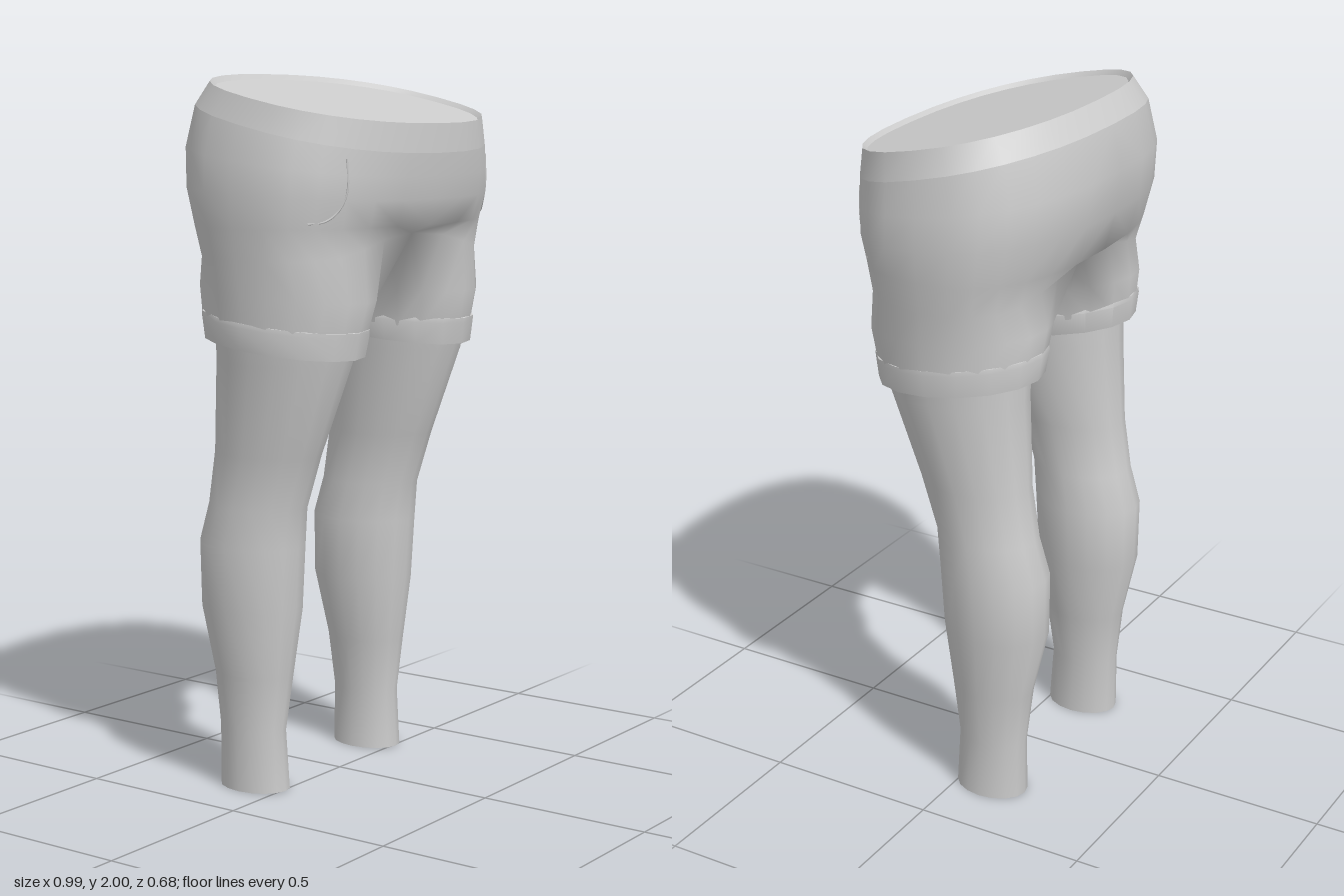
import * as THREE from 'three';
import { mergeGeometries, mergeVertices, toCreasedNormals } from 'three/addons/utils/BufferGeometryUtils.js';

const material = new THREE.MeshStandardMaterial({ color: 0xcccccc });
const HALF = 14;   // segments around one half of the hips
const INNER = 6;   // segments along the inner thigh
const range = (n, f) => Array.from({ length: n }, (_, i) => f(i));
const spow = (v, e) => Math.sign(v) * Math.abs(v) ** e;

// Joins rings (bottom to top, each counterclockwise from above) into a surface.
// The spans may be shorter than a full turn; side -1 mirrors it across x = 0.
function loft(rings, side = 1, spans = []) {
  const n = rings[0].length, pos = [], index = [];
  rings.forEach(r => r.forEach(p => pos.push(p[0] * side, p[1], p[2])));
  for (let i = 0; i < rings.length - 1; i++) {
    for (let j = 0; j < (spans[i] ?? n); j++) {
      const k = (j + 1) % n;
      const a = i * n + j, b = i * n + k, c = b + n, d = a + n;
      if (side > 0) index.push(a, b, c, a, c, d);
      else index.push(a, c, b, a, d, c);
    }
  }
  const g = new THREE.BufferGeometry();
  g.setAttribute('position', new THREE.Float32BufferAttribute(pos, 3));
  g.setIndex(index);
  return g;
}

// Ellipse given by its x and z limits, tilted along z
function ellipse([y, x0, x1, z0, z1], slope, angles) {
  const cx = (x0 + x1) / 2, cz = (z0 + z1) / 2;
  return angles.map(t => {
    const z = cz + (z1 - z0) / 2 * Math.cos(t);
    return [cx + (x1 - x0) / 2 * Math.sin(t), y + slope * z, z];
  });
}

// Rounded hip outline: height, tilt, half width, front, back, widest z, roundness
function hip([y, slope, w, zf, zb, zc, e], t) {
  const c = spow(Math.cos(t), e);
  const z = zc + c * (c > 0 ? zf - zc : zc - zb);
  return [w * spow(Math.sin(t), e), y + slope * z, z];
}

const SEAM = [1.866, -0.238, 0.475, 0.34, -0.31, 0.01, 0.84];
const RIM = [1.94, -0.225, 0.455, 0.335, -0.265, 0.03, 0.85];
const HIPS = [
  [1.59, 0, 0.487, 0.305, -0.29, 0, 0.8],
  [1.68, -0.06, 0.495, 0.325, -0.322, 0, 0.8],
  [1.77, -0.14, 0.49, 0.335, -0.335, 0, 0.82],
  SEAM,
];

function shortsHalf(side) {
  // Leg angles: a wide outer arc, then the inner thigh
  const gap = 0.7, N = HALF + INNER;
  const angles = range(N, j => j <= HALF
    ? -gap + (Math.PI + 2 * gap) * j / HALF
    : Math.PI + gap + (Math.PI - 2 * gap) * (j - HALF) / INNER);
  const rings = [
    ellipse([1.31, 0.062, 0.458, -0.237, 0.24], -0.116, angles),
    ellipse([1.41, 0.035, 0.466, -0.25, 0.265], -0.08, angles),
  ];
  // Crotch ring: the inner arc lies on the centre plane
  const zf = 0.245, zb = -0.22;
  rings.push(range(N, j => {
    if (j <= HALF) {
      const t = Math.PI * j / HALF, k = Math.abs(Math.cos(t)) ** 8;
      const p = hip([1.505, 0, 0.475, 0.29, -0.265, 0, 0.8], t);
      return [p[0], p[1] + 0.06 * k, THREE.MathUtils.lerp(p[2], p[2] > 0 ? zf : zb, k)];
    }
    const s = (j - HALF) / INNER;
    return [0, 1.5 + 0.065 * (2 * s - 1) ** 2, zb + (zf - zb) * s];
  }));
  // Hips use only the outer arc; the rest repeats its last point
  for (const row of HIPS) rings.push(range(N, j => hip(row, Math.PI * Math.min(j, HALF) / HALF)));
  rings.forEach((r, i) => { if (i > 2) r.forEach((p, j) => { if (j === 0 || j >= HALF) p[0] = 0; }); });
  return loft(rings, side, [N, N, HALF, HALF, HALF, HALF]);
}

export function createModel() {
  const group = new THREE.Group();
  const add = (name, geometry) => {
    const mesh = new THREE.Mesh(geometry, material);
    mesh.name = name;
    group.add(mesh);
    return mesh;
  };

  // Shorts, both halves welded along the centre
  const body = mergeVertices(mergeGeometries([shortsHalf(1), shortsHalf(-1)]), 1e-4);
  body.computeVertexNormals();
  const shorts = add('shorts', body);

  // Waistband, with a shallow rim and the closed top
  const turn = range(HALF * 2, j => Math.PI * j / HALF);
  const ring = row => turn.map(t => hip(row, t));
  const lid = [1.927, -0.225, 0.443, 0.323, -0.253, 0.03, 0.85];
  add('waistband', toCreasedNormals(loft([ring(SEAM), ring(RIM)]), 0.6));
  add('waistTop', toCreasedNormals(
    loft([ring(RIM), ring(lid), ring([1.927, -0.225, 0, 0.03, 0.03, 0.03, 1])]), 0.5));

  // Leg sections: height, x limits, z limits
  const legRows = [
    [0, 0.275, 0.275, -0.098, -0.098],
    [0, 0.195, 0.355, -0.205, 0.01],
    [0.17, 0.203, 0.35, -0.205, 0],
    [0.33, 0.18, 0.366, -0.222, 0.02],
    [0.52, 0.148, 0.392, -0.265, 0.045],
    [0.7, 0.143, 0.4, -0.267, 0.055],
    [0.81, 0.155, 0.39, -0.235, 0.065],
    [0.96, 0.155, 0.39, -0.213, 0.115],
    [1.22, 0.112, 0.428, -0.198, 0.21],
    [1.38, 0.1, 0.44, -0.2, 0.235],
  ];
  // Cuff section, from inside the hem around to the folded lip
  const cuffRows = [
    [1.37, 0.095, 0.445, -0.215, 0.22],
    [1.263, 0.09, 0.44, -0.22, 0.225],
    [1.263, 0.072, 0.455, -0.236, 0.241],
    [1.325, 0.056, 0.463, -0.245, 0.25],
    [1.338, 0.06, 0.461, -0.243, 0.251],
    [1.34, 0.075, 0.448, -0.225, 0.235],
  ];
  const round = range(16, j => Math.PI * j / 8);
  // Pocket opening in x and y, laid onto the shorts
  const pocket = [[0.338, 1.775], [0.338, 1.69], [0.352, 1.64], [0.378, 1.612], [0.415, 1.605]];

  for (const [side, prefix] of [[1, 'left'], [-1, 'right']]) {
    add(prefix + 'Leg', toCreasedNormals(loft(legRows.map(r => ellipse(r, 0, round)), side), 0.9));
    add(prefix + 'Cuff', toCreasedNormals(loft(cuffRows.map(r => ellipse(r, -0.116, round)), side), 0.6));
    const points = pocket.map(([x, y]) => {
      const ray = new THREE.Raycaster(new THREE.Vector3(x * side, y, 1), new THREE.Vector3(0, 0, -1));
      return ray.intersectObject(shorts)[0]?.point;
    }).filter(Boolean);
    if (points.length > 1) {
      add(prefix + 'PocketSeam',
        new THREE.TubeGeometry(new THREE.CatmullRomCurve3(points), 20, 0.003, 5));
    }
  }
  return group;
}
